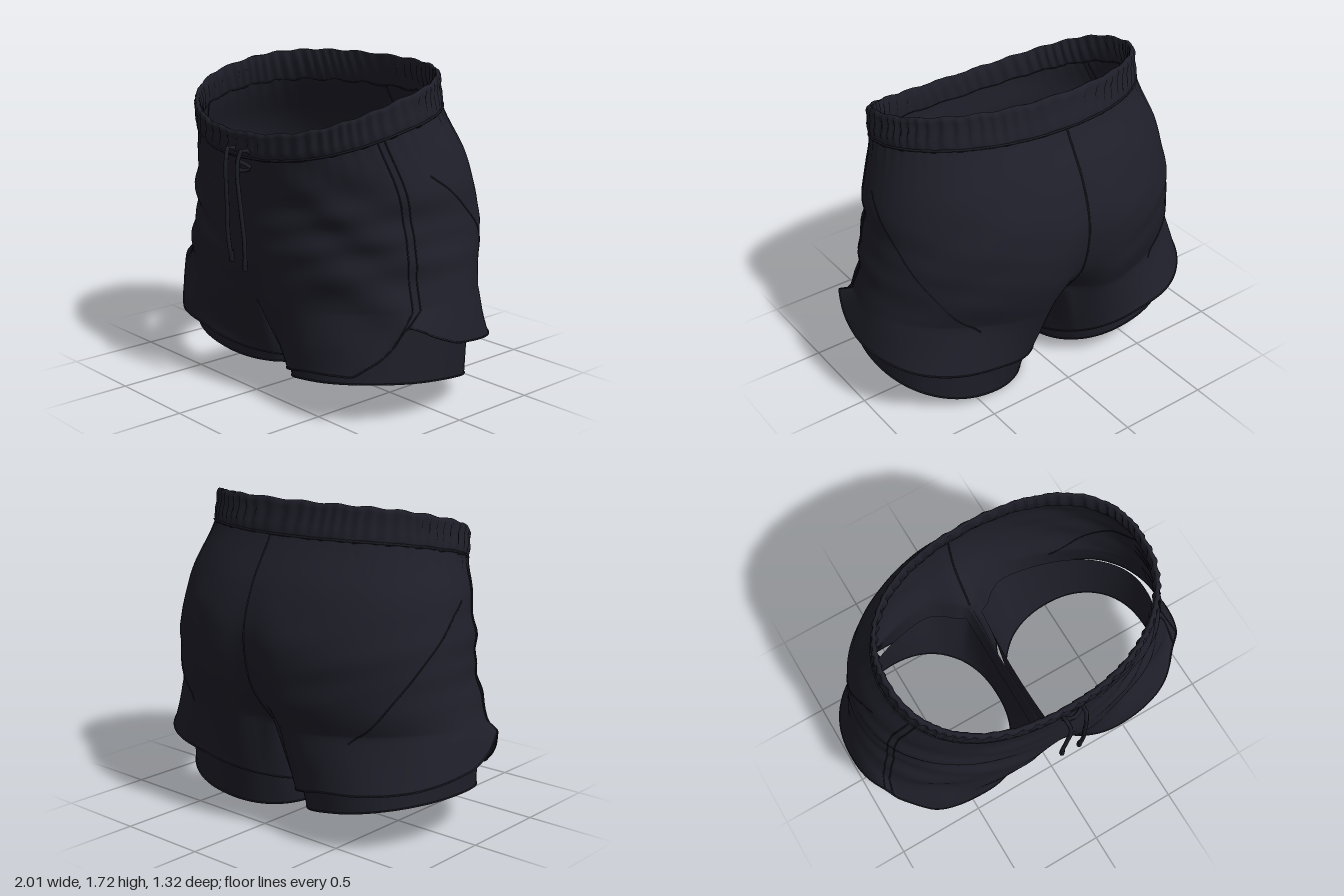
import * as THREE from 'three';
import { mergeVertices } from 'three/addons/utils/BufferGeometryUtils.js';

const V = (x, y, z) => new THREE.Vector3(x, y, z);
const { lerp, clamp } = THREE.MathUtils;
const RAD = Math.PI / 180;
const spow = (c, p) => Math.sign(c) * Math.abs(c) ** p;

// Hip rings, waist to crotch: half width, z front, z back, y front, y side, y back, front dent, back dent
const RINGS = [
  [0.725, 0.585, -0.39, 1.39, 1.61, 1.7, 0, 0],
  [0.745, 0.575, -0.43, 1.26, 1.46, 1.53, 0, 0],
  [0.84, 0.56, -0.58, 1.08, 1.2, 1.28, 0, 0.01],
  [0.88, 0.56, -0.66, 0.9, 0.97, 1.03, 0, 0.025],
  [0.915, 0.56, -0.645, 0.7, 0.77, 0.76, 0.01, 0.06],
  [0.955, 0.55, -0.58, 0.5, 0.6, 0.55, 0.05, 0.15],
];
const LAST = RINGS.length - 1;

// Hem height of the loose outer shell around one leg: angle from the front through the outside, y
const HEM = [[-60, 0.1], [-40, 0.14], [0, 0.23], [28, 0.26], [48, 0.38], [60, 0.53], [75, 0.46], [90, 0.4],
  [130, 0.34], [180, 0.29], [225, 0.19], [270, 0.1], [300, 0.1], [320, 0.14]];
function hemHeight(deg) {
  const i = clamp(HEM.findIndex(h => h[0] > deg), 1, HEM.length - 1);
  const [a, b] = [HEM[i - 1], HEM[i]];
  return lerp(a[1], b[1], (deg - a[0]) / (b[0] - a[0]));
}

// Smoothly interpolated ring value
function ringAt(v) {
  const i = Math.min(Math.floor(v), LAST - 1), t = v - i;
  const r = n => RINGS[clamp(n, 0, LAST)];
  return RINGS[0].map((_, c) => {
    const p0 = r(i - 1)[c], p1 = r(i)[c], p2 = r(i + 1)[c], p3 = r(i + 2)[c];
    return p1 + 0.5 * t * (p2 - p0 + t * (2 * p0 - 5 * p1 + 4 * p2 - p3 + t * (3 * (p1 - p2) + p3 - p0)));
  });
}

// Point on the hips: a = 0 at centre front, 180 at centre back; the sign of a picks the side
function hipPoint(a, v) {
  const [w, zf, zb, yf, ys, yb, df, db] = ringAt(v);
  const c = Math.cos(a * RAD), s = Math.sin(a * RAD);
  const power = lerp(0.88, c > 0 ? 0.9 : 1, clamp(v / 2, 0, 1));
  const x = w * spow(s, power);
  const y = ys + (yf - yb) / 2 * c + ((yf + yb) / 2 - ys) * c * c;
  const dent = Math.exp(-((x / 0.13) ** 2)) * (c > 0 ? -df : db);
  return V(x, y, (zf + zb) / 2 + (zf - zb) / 2 * spow(c, power) + dent);
}

// Cloth folds, strongest in front, fading at the centre seams and under the waistband
function fold(p, a, amount) {
  const s = Math.abs(Math.sin(a * RAD)), front = 0.3 + 0.7 * clamp(Math.cos(a * RAD) * 1.5 + 0.3, 0, 1);
  const side = Math.sign(a);
  const drape = Math.sin(17 * p.y + 6 * side * p.x + 2 * Math.sin(5 * p.x + 3 * p.y))
    + 0.6 * Math.sin(29 * p.y - 11 * side * p.x + 1.7 * side + 2 * Math.sin(7 * p.y));
  const k = 1 + 0.018 * drape * front * amount * Math.min(1, s * 2);
  return V(p.x * (1 + (k - 1) * 0.5), p.y, p.z * k);
}

// Leg hem ring: b = 0 front, 90 outside, 180 back, 270 inside
function hemPoint(b, side, liner) {
  const c = Math.cos(b * RAD), s = Math.sin(b * RAD), right = side < 0;
  const rx = s > 0 ? (liner ? 0.43 : 0.53) : !liner ? 0.455 : right ? 0.415 : 0.43;
  const x = 0.47 + rx * spow(s, 0.92);
  const rz = liner ? 0.445 : 0.52;
  const z = (liner ? (right ? -0.03 : 0.06) : (right ? -0.03 : 0.02)) + rz * spow(c, 0.9);
  const y = !liner ? hemHeight(b) : right ? 0.14 - 0.02 * c + 0.1 * s : 0.1 + 0.07 * c + 0.085 * s;
  return V(x * side, y, z);
}

// Shell or liner point; f runs 0..1 around the outside, 1..2 back along the inside of the leg
function legPoint(f, w, side, liner) {
  let top, b;
  if (f <= 1) {
    top = hipPoint(180 * f * side, LAST);
    b = -50 + 280 * f;
  } else {
    const t = f - 1;
    top = hipPoint(180 * side, LAST).lerp(hipPoint(0, LAST), t);
    top.y -= 0.06 * Math.sin(Math.PI * t);
    b = 230 + 80 * t;
  }
  if (f === 0 || f >= 1) top.x = 0;
  if (liner) top.lerp(V(0.47 * side, top.y, 0), 0.08);
  return top.lerp(hemPoint(b, side, liner), w);
}

function shellPoint(f, v, side) {
  const a = 180 * f * side;
  if (v >= LAST) {
    const p = legPoint(f, v - LAST, side, false);
    return f < 1 ? fold(p, a, 1 - 0.5 * (v - LAST)) : p;
  }
  const p = hipPoint(a, v);
  if (f === 0 || f === 1) p.x = 0;
  const gather = 0.011 * Math.sin(52 * a * RAD + 2 * Math.sin(9 * f)) * Math.exp(-(v - 1) * 3) * Math.sin(Math.PI * f);
  p.x *= 1 + gather;
  p.z *= 1 + gather;
  return fold(p, a, clamp((v - 1) * 0.8, 0, 1));
}

// Adds a grid of triangles for fn(u, v), flipped on the mirrored side
function patch(out, fn, u0, u1, nu, v0, v1, nv, flip) {
  const at = (i, j) => fn(lerp(u0, u1, i / nu), lerp(v0, v1, j / nv));
  for (let j = 0; j < nv; j++) for (let i = 0; i < nu; i++) {
    const a = at(i, j), b = at(i + 1, j), c = at(i + 1, j + 1), d = at(i, j + 1);
    for (const p of flip ? [a, b, d, b, c, d] : [a, d, b, b, d, c]) out.push(p.x, p.y, p.z);
  }
}
function surface(out) {
  const g = new THREE.BufferGeometry();
  g.setAttribute('position', new THREE.Float32BufferAttribute(out, 3));
  const merged = mergeVertices(g, 1e-4);
  merged.computeVertexNormals();
  return merged;
}

export function createModel() {
  const group = new THREE.Group();
  const fabric = new THREE.MeshStandardMaterial({ color: 0x1f1f2a, side: THREE.DoubleSide });
  fabric.name = 'dark navy fabric';
  const trim = new THREE.MeshStandardMaterial({ color: 0x1b1b25, side: THREE.DoubleSide });
  trim.name = 'dark trim';
  const add = (name, geo, mat) => {
    const m = new THREE.Mesh(geo, mat);
    m.name = name;
    group.add(m);
  };
  const tube = (name, pts, r, closed = false, mat = trim) =>
    add(name, new THREE.TubeGeometry(new THREE.CatmullRomCurve3(pts, closed), pts.length * 3, r, 5, closed), mat);
  const line = (n, fn) => Array.from({ length: n + 1 }, (_, i) => fn(i / n));

  // Loose outer shell: hips and both legs in one cloth
  const shell = [];
  for (const side of [1, -1]) {
    const fn = (f, v) => shellPoint(f, v, side);
    patch(shell, fn, 0, 1, 72, 1, LAST, 36, side < 0);
    patch(shell, fn, 0, 1, 72, LAST, LAST + 1, 10, side < 0);
    patch(shell, fn, 1, 2, 16, LAST, LAST + 1, 10, side < 0);
  }
  add('outerShell', surface(shell), fabric);

  // Fitted inner shorts showing below the shell
  for (const side of [1, -1]) {
    const liner = [];
    const fn = (f, w) => legPoint(f, w, side, true);
    patch(liner, fn, 0, 1, 48, 0.1, 1, 8, side < 0);
    patch(liner, fn, 1, 2, 16, 0.1, 1, 8, side < 0);
    const word = side > 0 ? 'left' : 'right';
    add(word + 'Liner', surface(liner), fabric);
    tube(word + 'LinerHem', line(40, t => fn(2 * t, 1)).slice(0, -1), 0.005, true);
    tube(word + 'ShellHem', line(72, t => shellPoint(2 * t, LAST + 1, side)).slice(0, -1), 0.005, true);
    // Side seams and the diagonal panel seam
    for (const f of [0.37, 0.39])
      tube(word + 'SideSeam', line(30, t => shellPoint(f, lerp(1, LAST + 1, t), side)), 0.004);
    tube(word + 'PanelSeam', line(24, t => shellPoint(lerp(0.47, 0.8, t), lerp(1.9, 5.1, t), side)), 0.004);
  }
  tube('backSeam', line(24, t => shellPoint(1, lerp(1, LAST, t), 1)), 0.005);

  // Gathered elastic waistband with an inner wall; rows are ring position and outward offset
  const PROFILE = [[1.06, 0], [0.95, 0.01], [0.75, 0.015], [0.5, 0.008], [0.25, 0.015], [0.06, 0.01],
    [0, 0], [0.06, -0.012], [0.5, -0.014], [0.95, -0.012], [1.06, 0]];
  const band = [];
  patch(band, (a, row) => {
    const [v, off] = PROFILE[Math.round(row)];
    const p = hipPoint(a, v), r = Math.hypot(p.x, p.z);
    const ripple = 0.009 * Math.sin(64 * a * RAD + 2 * Math.sin(7 * a * RAD) + 3 * v) * Math.sin(Math.PI * Math.min(v, 1));
    const k = 1 + (off + ripple) / r;
    return V(p.x * k, p.y + 0.004 * Math.sin(23 * a * RAD), p.z * k);
  }, -180, 180, 360, 0, PROFILE.length - 1, PROFILE.length - 1, true);
  add('waistband', surface(band), fabric);
  tube('waistbandSeam', line(90, t => hipPoint(360 * t - 180, 1.02).multiply(V(1.008, 1, 1.008))).slice(0, -1), 0.006, true);

  // Drawstring cords, tips and knot loop
  for (const [s, end] of [[-1, 0.71], [1, 0.68]]) {
    const x = 0.02 + 0.055 * s;
    tube('drawstring', [V(x, 1.28, 0.57), V(x, 1.31, 0.63), V(x - 0.01 * s, 1.24, 0.655), V(x, 1.0, 0.645),
      V(x + 0.01 * s, 0.85, 0.635), V(x, end, 0.622)], 0.012, false, fabric);
    tube('drawstringTip', [V(x, end + 0.06, 0.625), V(x, end, 0.622)], 0.015);
  }
  tube('drawstringLoop', [V(-0.03, 1.22, 0.58), V(0.02, 1.24, 0.61), V(0.08, 1.21, 0.58), V(0.02, 1.19, 0.6)], 0.011, true, fabric);
  return group;
}
